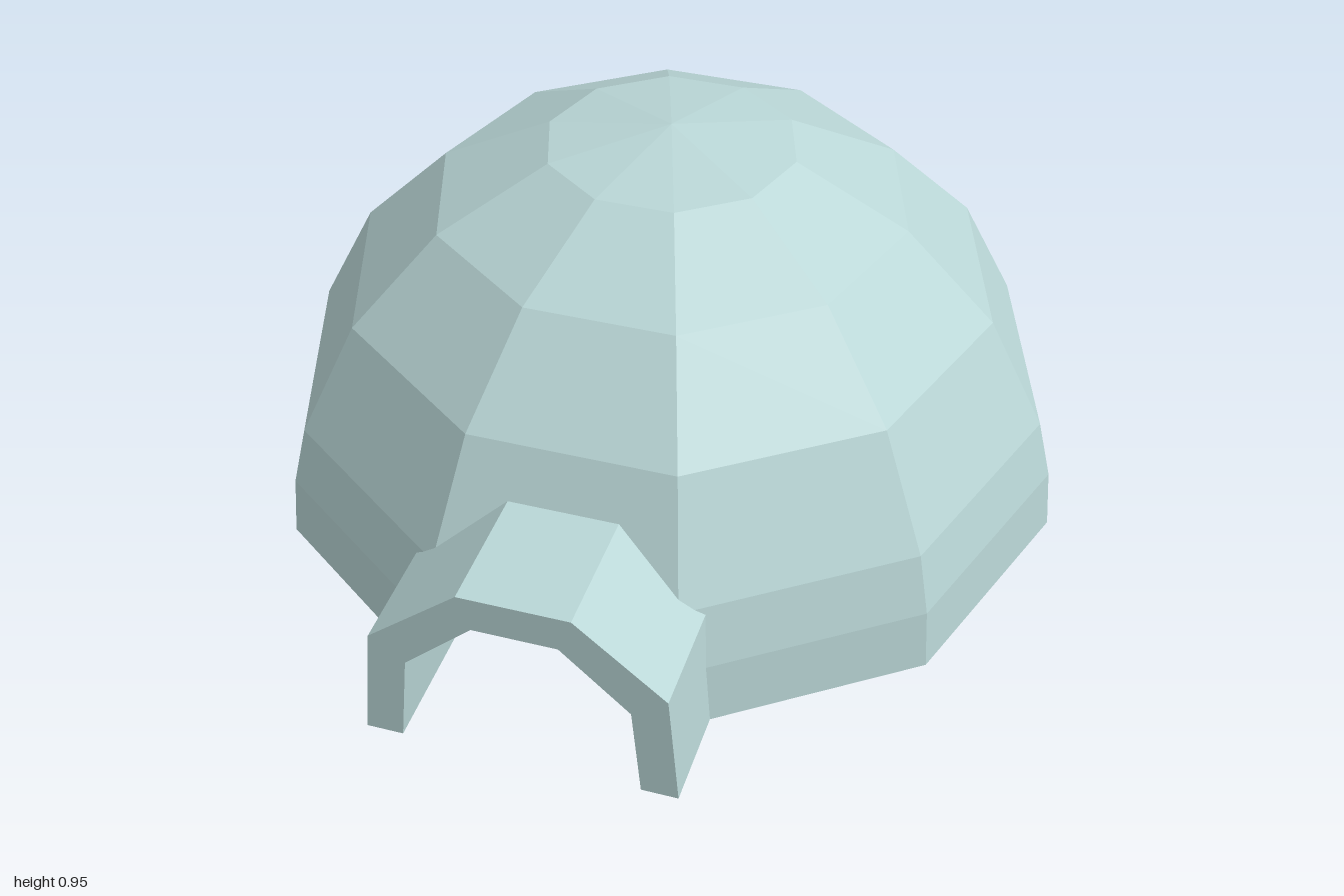
import * as THREE from 'three';

const R = 0.95, STEP = Math.PI / 10, CENTRE_Z = -0.097;

// Thin arch shell: each arch point sweeps inner wall, front rim and outer wall
function archShell(inner, outer, back, front) {
  const mirror = half => [...half.map(([x, y]) => [-x, y]), ...half.slice().reverse()];
  const ins = mirror(inner), outs = mirror(outer);
  const pos = [], idx = [];
  ins.forEach(([ix, iy], i) => {
    const [ox, oy] = outs[i];
    pos.push(ix, iy, back, ix, iy, front, ox, oy, front, ox, oy, back);
    if (i === ins.length - 1) return;
    for (let j = 0; j < 3; j++) {
      const a = i * 4 + j, b = a + 4;
      idx.push(a, b, a + 1, b, b + 1, a + 1);
    }
  });
  const geo = new THREE.BufferGeometry();
  geo.setAttribute('position', new THREE.Float32BufferAttribute(pos, 3));
  geo.setIndex(idx);
  const flat = geo.toNonIndexed();
  flat.computeVertexNormals();
  return flat;
}

export function createModel() {
  const group = new THREE.Group();
  group.name = 'snowHut';
  const material = new THREE.MeshStandardMaterial({
    color: 0xb9d6d6, flatShading: true, side: THREE.DoubleSide,
  });
  const add = (name, geo, z = 0) => {
    const mesh = new THREE.Mesh(geo, material);
    mesh.name = name;
    mesh.position.z = z;
    group.add(mesh);
  };

  // Upper dome: four full rings of ten facets
  add('domeRoof', new THREE.SphereGeometry(R, 10, 4, 0, Math.PI * 2, 0, STEP * 4), CENTRE_Z);

  // Lowest ring, with the front facet left open as the doorway
  add('domeWall', new THREE.SphereGeometry(R, 9, 1, STEP * 6, STEP * 18, STEP * 4, STEP), CENTRE_Z);

  // Entrance tunnel, open at the bottom and toward the dome
  add('entranceTunnel', archShell(
    [[0.27, 0], [0.25, 0.22], [0.095, 0.36]],
    [[0.353, 0], [0.33, 0.276], [0.125, 0.444]],
    0.69, 1,
  ));

  return group;
}
